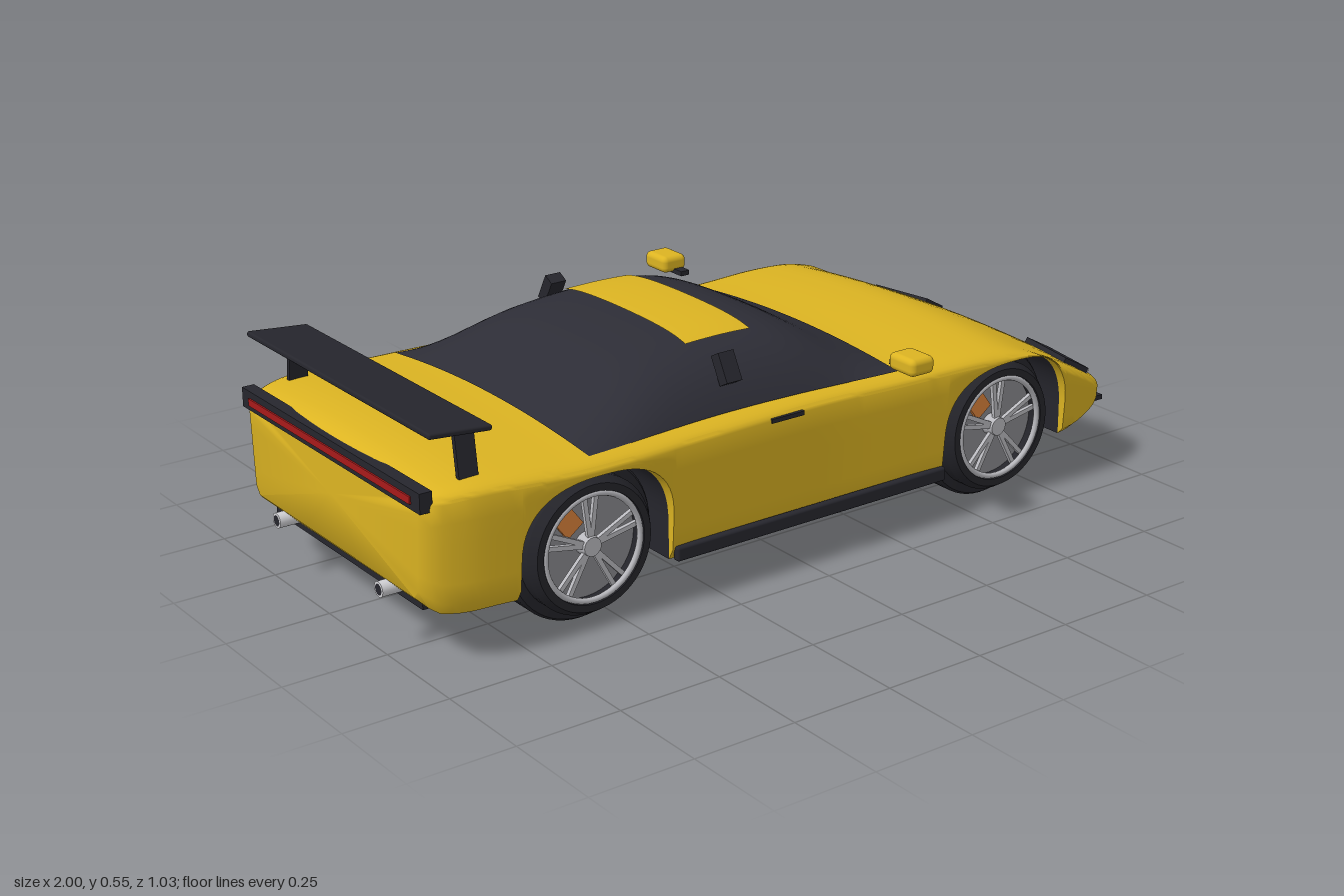
import * as THREE from 'three';
import { toCreasedNormals } from 'three/addons/utils/BufferGeometryUtils.js';
import { RoundedBoxGeometry } from 'three/addons/geometries/RoundedBoxGeometry.js';

const mat = (name, color, side = THREE.FrontSide) => {
  const m = new THREE.MeshStandardMaterial({ color, side });
  m.name = name;
  return m;
};

// Smooth curve through [x, value] pairs, evaluated by x
const curve = (pts) => (x) => {
  let i = 0;
  while (i < pts.length - 2 && x > pts[i + 1][0]) i++;
  const slope = (k) => {
    const a = pts[Math.max(k - 1, 0)], b = pts[Math.min(k + 1, pts.length - 1)];
    return (b[1] - a[1]) / (b[0] - a[0]);
  };
  const [x0, y0] = pts[i], [x1, y1] = pts[i + 1], d = x1 - x0;
  const t = Math.min(Math.max((x - x0) / d, 0), 1), t2 = t * t, t3 = t2 * t;
  return y0 * (2 * t3 - 3 * t2 + 1) + y1 * (3 * t2 - 2 * t3)
    + d * (slope(i) * (t3 - 2 * t2 + t) + slope(i + 1) * (t3 - t2));
};

const WHEEL_X = [-0.572, 0.604], WHEEL_R = 0.187, ARCH = 0.196;

// Lengthwise body curves
const topY = curve([[-0.98, 0.4], [-0.95, 0.42], [-0.85, 0.43], [-0.6, 0.42], [0, 0.42], [0.3, 0.416], [0.5, 0.417],
  [0.62, 0.405], [0.75, 0.355], [0.9, 0.28], [0.96, 0.242], [0.98, 0.215]]);
const bottomY = curve([[-0.98, 0.16], [-0.94, 0.125], [-0.8, 0.12], [-0.4, 0.108], [0, 0.098], [0.4, 0.108],
  [0.8, 0.125], [0.86, 0.132], [0.95, 0.163], [0.98, 0.186]]);
const halfW = curve([[-0.98, 0.365], [-0.95, 0.395], [-0.85, 0.425], [-0.6, 0.44], [-0.3, 0.43], [0.05, 0.42],
  [0.3, 0.428], [0.6, 0.442], [0.8, 0.43], [0.9, 0.407], [0.96, 0.38], [0.98, 0.352]]);
const cabinW = curve([[-0.58, 0.4], [-0.2, 0.377], [0.285, 0.39]]);
const cabinH = curve([[-0.58, 0], [-0.47, 0.05], [-0.39, 0.083], [-0.31, 0.103], [-0.18, 0.116], [0, 0.111],
  [0.09, 0.088], [0.2, 0.035], [0.285, 0]]);

const wheelNear = (x) => WHEEL_X.find((c) => Math.abs(x - c) <= ARCH + 0.0001);

// Half cross-section from the keel, round the side, to the middle of the top
function halfSection(x) {
  const w = halfW(x), top = topY(x), yb = bottomY(x), c = wheelNear(x);
  let a = yb;
  if (c !== undefined) {
    const u = Math.min(Math.abs(x - c) / ARCH, 1);
    a = WHEEL_R + 0.18 * Math.pow(1 - Math.pow(u, 2.5), 1 / 2.5);
  }
  const crown = Math.min(0.02, (top - yb) * 0.15);
  const ys = Math.max(top - Math.min(0.045, (top - yb) * 0.5), a + 0.003);
  const sideZ = (y) => w * (0.962 + 0.038 * Math.min(Math.max((y - 0.12) / 0.24, 0), 1));
  const p = [[0, yb], [0.125, yb], [0.125, a], [w * 0.93, a]];
  for (let k = 0; k <= 5; k++) {
    const y = a + (ys - a) * (0.1 + 0.18 * k);
    p.push([sideZ(y), y]);
  }
  const z0 = sideZ(ys);
  for (let k = 1; k <= 6; k++) {
    const t = (k / 6) * Math.PI / 2;
    p.push([z0 - 0.06 * (1 - Math.cos(t)), ys + (top - crown - ys) * Math.sin(t)]);
  }
  for (let k = 1; k <= 6; k++) {
    const u = 1 - k / 6;
    p.push([(z0 - 0.06) * u, top - crown * u * u]);
  }
  return p;
}

// Body loft; the wheel wells form a second material group
function bodyGeometry() {
  const xs = [];
  for (let i = 0; i <= 98; i++) {
    const x = -0.98 + i * 0.02;
    if (wheelNear(x) === undefined) xs.push(x);
  }
  for (const c of WHEEL_X) {
    for (let k = -16; k <= 16; k++) xs.push(c + ARCH * Math.sin((k / 16) * Math.PI / 2));
    xs.push(c - ARCH - 0.0006, c + ARCH + 0.0006);
  }
  xs.sort((a, b) => a - b);
  const pos = [], paint = [], well = [];
  let n = 0;
  for (const x of xs) {
    const half = halfSection(x);
    const ring = [...half, ...half.slice(1, -1).reverse().map(([z, y]) => [-z, y])];
    n = ring.length;
    for (const [z, y] of ring) pos.push(x, y, z);
  }
  for (let i = 0; i < xs.length - 1; i++) {
    const inArch = wheelNear(xs[i]) !== undefined || wheelNear(xs[i + 1]) !== undefined;
    for (let j = 0; j < n; j++) {
      const a = i * n + j, b = i * n + (j + 1) % n;
      const isWell = inArch && (j === 1 || j === 2 || j === n - 2 || j === n - 3);
      (isWell ? well : paint).push(a, a + n, b, b, a + n, b + n);
    }
  }
  // End caps
  const last = (xs.length - 1) * n, mid = pos.length / 3;
  pos.push(-0.982, 0.28, 0, 0.984, 0.2, 0);
  for (let j = 0; j < n; j++) {
    const k = (j + 1) % n;
    paint.push(mid, j, k, mid + 1, last + k, last + j);
  }
  const g = new THREE.BufferGeometry();
  g.setAttribute('position', new THREE.Float32BufferAttribute(pos, 3));
  g.setIndex([...paint, ...well]);
  g.addGroup(0, paint.length, 0);
  g.addGroup(paint.length, well.length, 1);
  return toCreasedNormals(g, 0.75);
}

// Curved sheet following the cabin between x0 and x1; width(x) is its half width
function cabinSheet(x0, x1, width, lift) {
  const nx = 44, nz = 40, pos = [], idx = [];
  for (let i = 0; i <= nx; i++) {
    const x = x0 + (x1 - x0) * i / nx;
    for (let j = 0; j <= nz; j++) {
      const z = width(x) * Math.sin((j / nz - 0.5) * Math.PI);
      const u = Math.min(Math.abs(z) / cabinW(x), 1);
      pos.push(x, topY(x) - 0.02 * (z / 0.36) ** 2 + cabinH(x) * (1 - u ** 5.5) + lift, z);
      if (i < nx && j < nz) {
        const a = i * (nz + 1) + j, c = a + nz + 1;
        idx.push(a, a + 1, c, a + 1, c + 1, c);
      }
    }
  }
  const g = new THREE.BufferGeometry();
  g.setAttribute('position', new THREE.Float32BufferAttribute(pos, 3));
  g.setIndex(idx);
  g.computeVertexNormals();
  return g;
}

export function createModel() {
  const paint = mat('yellow paint', 0xdcb422), sheetPaint = mat('yellow panel', 0xdcb422, THREE.DoubleSide);
  const glass = mat('dark glass', 0x2d2d36, THREE.DoubleSide), trim = mat('black trim', 0x26262d);
  const rubber = mat('tyre rubber', 0x24242a), alloy = mat('alloy', 0xb9b9be), steel = mat('brake steel', 0x88888c);
  const orange = mat('caliper orange', 0xd9813a), red = mat('tail red', 0xa81a1a), chrome = mat('chrome', 0xd2d2d6);
  const car = new THREE.Group();
  car.name = 'sportsCar';
  const add = (name, geo, m, x = 0, y = 0, z = 0, parent = car) => {
    const mesh = new THREE.Mesh(geo, m);
    mesh.name = name;
    mesh.position.set(x, y, z);
    parent.add(mesh);
    return mesh;
  };
  const box = (w, h, d) => new THREE.BoxGeometry(w, h, d);

  add('body', bodyGeometry(), [paint, trim]);
  add('cabin', cabinSheet(-0.58, 0.285, cabinW, 0.004), glass);
  add('roofPanel', cabinSheet(-0.21, -0.03, () => 0.24, 0.009), sheetPaint);

  // Wheels
  const tyre = [[0, 0.13], [0.18, 0.13], [0.187, 0.137], [0.187, 0.343], [0.181, 0.352], [0.16, 0.354], [0.16, 0.385],
    [0.147, 0.405], [0.13, 0.405], [0.127, 0.36], [0, 0.36]].map(([r, y]) => new THREE.Vector2(r, y));
  const tyreGeo = toCreasedNormals(new THREE.LatheGeometry(tyre, 56), 0.5);
  for (const x of WHEEL_X) for (const s of [1, -1]) {
    const wheel = new THREE.Group();
    wheel.name = (x > 0 ? 'front' : 'rear') + 'Wheel';
    wheel.position.set(x, WHEEL_R, 0);
    car.add(wheel);
    const turned = (name, geo, m, z) => { add(name, geo, m, 0, 0, z * s, wheel).rotation.x = s * Math.PI / 2; };
    turned('tyre', tyreGeo, rubber, 0);
    turned('brakeDisc', new THREE.CylinderGeometry(0.127, 0.127, 0.01, 40), steel, 0.363);
    turned('hub', new THREE.CylinderGeometry(0.022, 0.026, 0.03, 20), alloy, 0.383);
    add('rimRing', new THREE.TorusGeometry(0.123, 0.007, 8, 48), alloy, 0, 0, 0.398 * s, wheel);
    add('caliper', box(0.05, 0.055, 0.012), orange, -0.047, 0.06, 0.372 * s, wheel).rotation.z = 0.65;
    for (let k = 0; k < 5; k++) for (const e of [-1, 1]) {
      const a = Math.PI / 2 + k * Math.PI * 0.4 + e * 0.13;
      add('spoke', box(0.106, 0.011, 0.01), alloy, Math.cos(a) * 0.07, Math.sin(a) * 0.07, 0.387 * s, wheel).rotation.z = a;
    }
  }

  // Parts mirrored left and right
  for (const s of [1, -1]) {
    add('sideSkirt', new RoundedBoxGeometry(0.78, 0.034, 0.02, 2, 0.006), trim, 0.02, 0.124, s * 0.42);
    add('doorHandle', box(0.09, 0.01, 0.012), trim, -0.065, 0.376, s * halfW(-0.065));
    add('windowLatch', box(0.042, 0.07, 0.03), trim, -0.175, 0.492, s * 0.345).rotation.x = -s * 0.5;
    add('mirrorArm', box(0.025, 0.012, 0.07), trim, 0.262, 0.431, s * 0.435);
    add('mirror', new RoundedBoxGeometry(0.07, 0.042, 0.086, 3, 0.014), paint, 0.253, 0.449, s * 0.472);
    add('wingSupport', box(0.047, 0.115, 0.012), trim, -0.857, 0.465, s * 0.355).rotation.x = s * -0.14;
    const lamp = new THREE.Group();
    lamp.name = 'headlight';
    lamp.position.set(0.902, 0.265, s * 0.278);
    lamp.rotation.set(0, -s * 0.18, -0.5);
    car.add(lamp);
    add('lampCover', box(0.078, 0.026, 0.172), trim, 0, 0, 0, lamp);
    add('lampLens', box(0.008, 0.018, 0.166), chrome, 0.041, 0.002, 0, lamp);
    const pipe = add('exhaustPipe', new THREE.CylinderGeometry(0.018, 0.018, 0.1, 20), chrome, -0.95, 0.142, s * 0.225);
    pipe.rotation.z = Math.PI / 2;
    add('exhaustBore', new THREE.CircleGeometry(0.013, 20), trim, -1.0005, 0.142, s * 0.225).rotation.y = -Math.PI / 2;
  }

  // Rear wing, lights, diffuser and front splitter
  add('wing', new RoundedBoxGeometry(0.152, 0.013, 0.785, 2, 0.005), trim, -0.886, 0.522, 0).rotation.z = -0.09;
  add('tailPanel', box(0.03, 0.046, 0.77), trim, -0.97, 0.386, 0);
  add('tailLight', box(0.006, 0.017, 0.7), red, -0.986, 0.384, 0);
  add('diffuser', box(0.13, 0.034, 0.64), trim, -0.885, 0.133, 0);
  add('splitter', box(0.1, 0.012, 0.7), trim, 0.95, 0.16, 0);
  return car;
}
